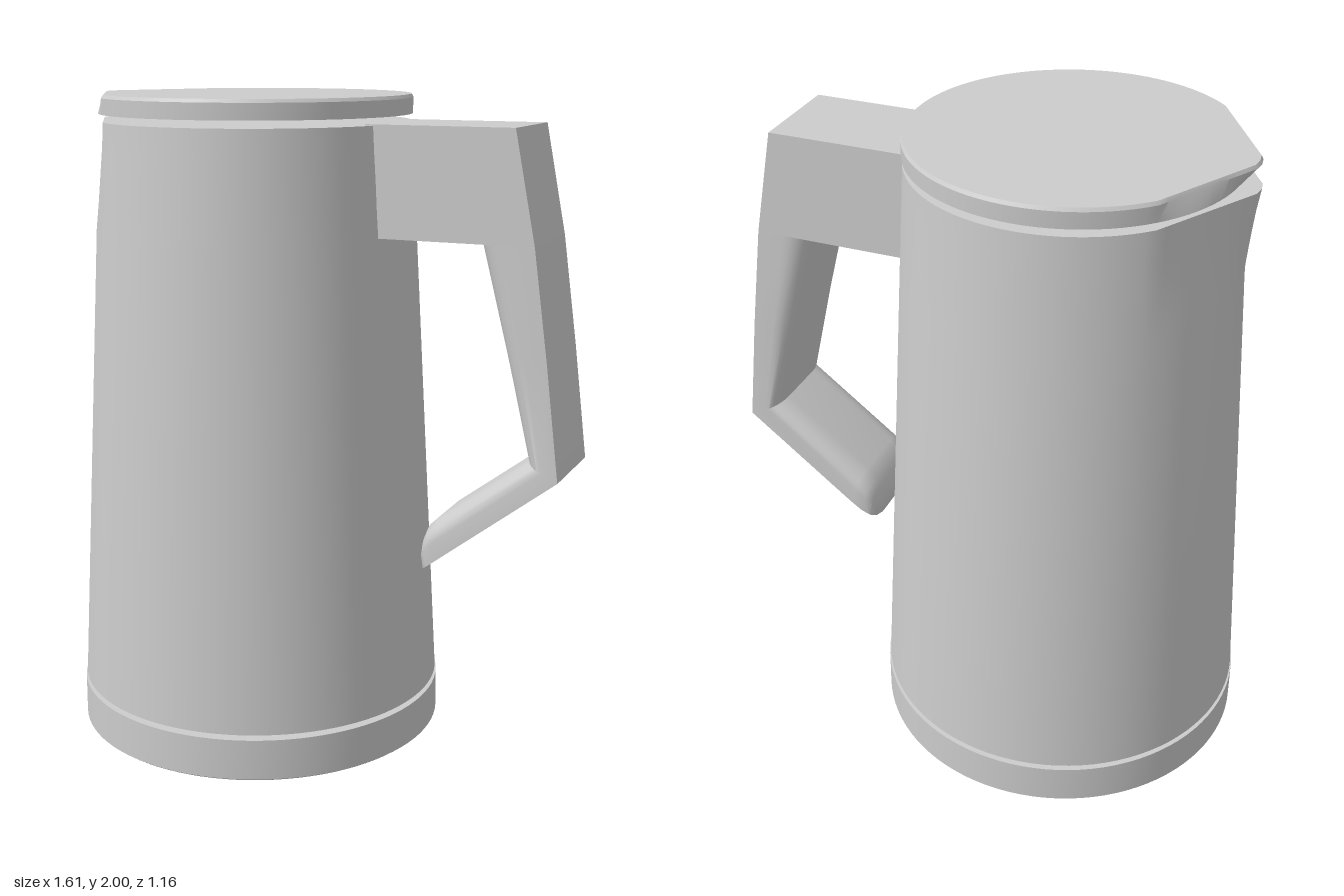
import * as THREE from 'three';
import { toCreasedNormals } from 'three/addons/utils/BufferGeometryUtils.js';

const CX = -0.225; // axis of the jug
const SEG = 96;
const material = new THREE.MeshStandardMaterial({ color: 0xcccccc });

// Skin a list of closed rings (top to bottom) and cap both ends.
function loft(rings) {
  const pos = [];
  const tri = (...pts) => pts.forEach((p) => pos.push(p.x, p.y, p.z));
  const n = rings[0].length;
  for (let i = 0; i < rings.length - 1; i++) {
    const a = rings[i], b = rings[i + 1];
    for (let j = 0; j < n; j++) {
      const k = (j + 1) % n;
      tri(a[j], b[j], a[k]);
      tri(a[k], b[j], b[k]);
    }
  }
  const centre = (r) => r.reduce((s, p) => s.add(p), new THREE.Vector3()).divideScalar(n);
  const top = rings[0], bottom = rings[rings.length - 1];
  const ct = centre(top), cb = centre(bottom);
  for (let j = 0; j < n; j++) {
    const k = (j + 1) % n;
    tri(ct, top[j], top[k]);
    tri(cb, bottom[k], bottom[j]);
  }
  const geometry = new THREE.BufferGeometry();
  geometry.setAttribute('position', new THREE.Float32BufferAttribute(pos, 3));
  return toCreasedNormals(geometry, 0.5);
}

// Circle of radius r, drawn out by k towards a spout tip on the -x side.
function ring(y, r, k = 0, tip = 0.525) {
  const pts = [];
  for (let i = 0; i < SEG; i++) {
    const t = (i / SEG) * Math.PI * 2;
    const a = Math.abs(Math.atan2(Math.sin(t), -Math.cos(t)));
    let rad = r;
    if (k > 0 && a < Math.PI / 4) {
      const px = tip + 0.015, q = r * Math.SQRT1_2;
      const line = (px * q) / (Math.cos(a) * q + Math.sin(a) * (px - q));
      rad = THREE.MathUtils.lerp(r, Math.min(line, tip), k);
    }
    pts.push(new THREE.Vector3(CX + rad * Math.cos(t), y, -rad * Math.sin(t)));
  }
  return pts;
}

// Handle section: flat outer face, rounded inner corners, half width w.
function gripSection([ox, oy, ix, iy, w]) {
  const half = [[0, w]];
  for (let i = 0; i <= 6; i++) {
    const a = (i / 6) * Math.PI / 2;
    half.push([0.5 + 0.5 * Math.sin(a), w - 0.07 * (1 - Math.cos(a))]);
  }
  const all = [...half.map(([d, z]) => [d, -z]), ...half.reverse()];
  return all.map(([d, z]) => new THREE.Vector3(ox + (ix - ox) * d, oy + (iy - oy) * d, z));
}

export function createModel() {
  const group = new THREE.Group();
  const add = (name, geometry, parent = group) => {
    const mesh = new THREE.Mesh(geometry, material);
    mesh.name = name;
    parent.add(mesh);
  };

  // Base plate with a slightly recessed rim
  add('base', loft([ring(0.14, 0.579), ring(0.014, 0.58), ring(0.008, 0.572), ring(0, 0.48)]));

  // Tapered body with the spout swelling out near the top
  add('body', loft([
    ring(1.92, 0.475, 1), ring(1.84, 0.479, 0.75), ring(1.76, 0.484, 0.5),
    ring(1.68, 0.488, 0.25), ring(1.6, 0.493), ring(0.155, 0.575),
  ]));

  // Lid, overhanging at the spout
  add('lid', loft([
    ring(2, 0.472, 1, 0.513), ring(1.99, 0.478, 1, 0.519), ring(1.942, 0.477),
  ]));

  // Handle: block joining the body, then a bent grip
  const handle = new THREE.Group();
  handle.name = 'handle';
  group.add(handle);

  const W = 0.155;
  const block = new THREE.Shape([
    [0.2, 1.6], [0.71, 1.6], [0.645, 1.924], [0.2, 1.924],
  ].map((p) => new THREE.Vector2(...p)));
  add('handleMount', new THREE.ExtrudeGeometry(block, { depth: 2 * W, bevelEnabled: false })
    .translate(0, 0, -W), handle);

  add('handleGrip', loft([
    [0.71, 1.6, 0.54, 1.6, W],
    [0.757, 1.27, 0.624, 1.28, W],
    [0.8, 0.93, 0.7, 0.975, W],
    [0.46, 0.664, 0.425, 0.765, W],
    [0.425, 0.636, 0.395, 0.735, 0.152],
    [0.4, 0.616, 0.382, 0.705, 0.142],
    [0.385, 0.604, 0.374, 0.675, 0.122],
    [0.378, 0.6, 0.371, 0.645, 0.09],
  ].map(gripSection)), handle);

  return group;
}
